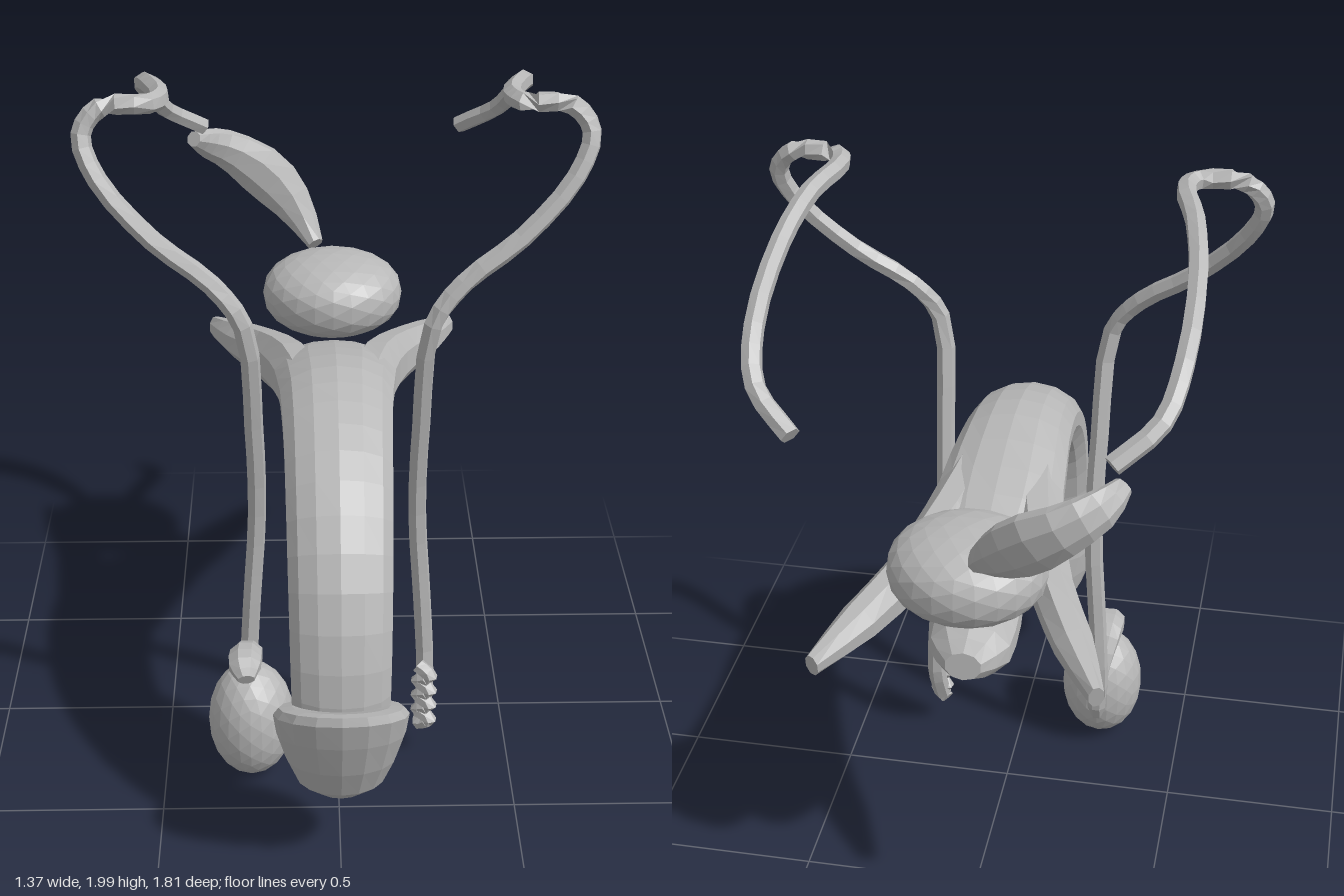
import * as THREE from 'three';

const V = (x, y, z) => new THREE.Vector3(x, y, z);

// Closed body swept through stations [x, y, z, halfWidth, halfDepth]
function loft(stations, wideHint, sides, steps) {
  const path = new THREE.CatmullRomCurve3(stations.map(s => V(s[0], s[1], s[2])));
  const size = new THREE.CatmullRomCurve3(stations.map(s => V(s[3], s[4], 0)));
  const pos = [], idx = [];
  for (let i = 0; i <= steps; i++) {
    const t = i / steps;
    const c = path.getPoint(t), tan = path.getTangent(t), r = size.getPoint(t);
    const wide = wideHint.clone().addScaledVector(tan, -wideHint.dot(tan)).normalize();
    const up = tan.clone().cross(wide);
    for (let j = 0; j < sides; j++) {
      const a = (j + 0.5) / sides * Math.PI * 2;
      const p = c.clone().addScaledVector(wide, Math.cos(a) * r.x).addScaledVector(up, Math.sin(a) * r.y);
      pos.push(p.x, p.y, p.z);
    }
  }
  for (let i = 0; i < steps; i++) {
    for (let j = 0; j < sides; j++) {
      const a = i * sides + j, b = i * sides + (j + 1) % sides;
      idx.push(a, b, a + sides, b, b + sides, a + sides);
    }
  }
  // end caps
  [0, steps].forEach(row => {
    const c = path.getPoint(row / steps), n = pos.length / 3;
    pos.push(c.x, c.y, c.z);
    for (let j = 0; j < sides; j++) {
      const a = row * sides + j, b = row * sides + (j + 1) % sides;
      if (row === 0) idx.push(n, b, a); else idx.push(n, a, b);
    }
  });
  const g = new THREE.BufferGeometry();
  g.setAttribute('position', new THREE.Float32BufferAttribute(pos, 3));
  g.setIndex(idx);
  g.computeVertexNormals();
  return g;
}

// Same radius all along the path
const cord = (points, r, steps) => loft(points.map(p => [...p, r, r]), V(1, 0.13, 0.21), 6, steps);

function ellipsoid(rx, ry, rz, fullness = 1) {
  const g = new THREE.IcosahedronGeometry(1, 3), p = g.attributes.position;
  for (let i = 0; i < p.count; i++) {
    const y = p.getY(i);
    p.setY(i, Math.sign(y) * Math.pow(Math.abs(y), fullness));
  }
  g.scale(rx, ry, rz);
  g.computeVertexNormals();
  return g;
}

export function createModel() {
  const model = new THREE.Group();
  model.name = 'anatomyModel';
  const grey = new THREE.MeshStandardMaterial({ color: 0xb8b8b8 });
  grey.name = 'plainGrey';
  grey.flatShading = true;
  const add = (name, geometry, x = 0, y = 0, z = 0) => {
    const m = new THREE.Mesh(geometry, grey);
    m.name = name;
    m.position.set(x, y, z);
    model.add(m);
    return m;
  };
  const X = V(1, 0, 0);

  // Arched upper column
  add('cavernousBody', loft([
    [0, 0.42, 0.725, 0.13, 0.085], [0, 0.6, 0.725, 0.135, 0.085], [0, 0.83, 0.645, 0.14, 0.09],
    [0, 1.0, 0.5, 0.145, 0.095], [0, 1.095, 0.33, 0.15, 0.095], [0, 1.125, 0.14, 0.16, 0.095],
    [0, 1.08, -0.12, 0.18, 0.085], [0, 1.02, -0.36, 0.14, 0.05],
  ], X, 14, 18));

  // Lower column, swelling into a bulb at the back
  add('spongyBody', loft([
    [0, 0.42, 0.66, 0.055, 0.05], [0, 0.6, 0.655, 0.055, 0.05], [0, 0.8, 0.585, 0.055, 0.05],
    [0, 0.95, 0.455, 0.055, 0.05], [0, 1.035, 0.29, 0.055, 0.05], [0, 1.045, 0.12, 0.06, 0.05],
    [0, 0.965, -0.12, 0.075, 0.065], [0, 0.895, -0.36, 0.115, 0.1], [0, 0.87, -0.53, 0.115, 0.085],
    [0, 0.885, -0.64, 0.05, 0.04],
  ], X, 10, 20));

  // Diverging rear legs of the upper column
  for (const s of [1, -1]) {
    add(s > 0 ? 'leftCrus' : 'rightCrus', loft([
      [0.08 * s, 1.1, 0.05, 0.08, 0.08], [0.125 * s, 1.05, -0.2, 0.075, 0.09],
      [0.2 * s, 1.0, -0.42, 0.06, 0.08], [0.285 * s, 0.965, -0.6, 0.055, 0.06],
      [0.37 * s, 0.935, -0.77, 0.022, 0.035],
    ], X, 8, 8));
  }

  // Slanted cap with a flared rim
  const profile = [[0, 0.22], [0.07, 0.227], [0.12, 0.27], [0.15, 0.35], [0.172, 0.44],
    [0.18, 0.51], [0.165, 0.535], [0.13, 0.54], [0, 0.52]];
  const glans = new THREE.LatheGeometry(profile.map(p => new THREE.Vector2(...p)), 16);
  const gp = glans.attributes.position;
  for (let i = 0; i < gp.count; i++) {
    const y = gp.getY(i), z = gp.getZ(i) * 0.84, rise = (y - 0.22) / 0.3;
    gp.setY(i, y + z * 0.43 * rise);
    gp.setZ(i, z + 0.69 + 0.07 * rise);
  }
  glans.computeVertexNormals();
  add('glans', glans);

  // Gland behind the arch
  add('prostate', ellipsoid(0.212, 0.125, 0.197, 0.85), 0, 1.145, -0.56);

  // Flattened sac on the right side only
  add('seminalVesicle', loft([
    [-0.05, 1.25, -0.69, 0.025, 0.025], [-0.115, 1.34, -0.79, 0.065, 0.035],
    [-0.2, 1.42, -0.845, 0.085, 0.04], [-0.31, 1.495, -0.86, 0.065, 0.04],
    [-0.38, 1.535, -0.825, 0.05, 0.035], [-0.42, 1.565, -0.77, 0.025, 0.025],
  ], V(0.6, 0.8, 0), 8, 9));

  // Long looping ducts, mirrored
  const duct = [
    [0.25, 0.12, 0.225], [0.258, 0.25, 0.18], [0.245, 0.5, 0.18], [0.225, 0.8, 0.195],
    [0.228, 1.1, 0.245], [0.25, 1.42, 0.3], [0.33, 1.53, 0.28], [0.48, 1.64, 0.245],
    [0.62, 1.79, 0.195], [0.66, 1.9, 0.155], [0.61, 1.965, 0.135], [0.485, 1.97, 0.12],
    [0.46, 1.97, 0.06], [0.5, 1.955, -0.1], [0.53, 1.895, -0.29], [0.53, 1.785, -0.55],
    [0.495, 1.69, -0.68], [0.39, 1.61, -0.76],
  ];
  for (const s of [1, -1]) {
    add(s > 0 ? 'leftDuct' : 'rightDuct', cord(duct.map(([x, y, z]) => [x * s, y, z]), 0.027, 51));
  }

  // Coiled end of the left duct
  const coil = [];
  for (let i = 0; i <= 8; i++) {
    coil.push([0.25 + (i % 2 ? 0.02 : -0.015), 0.1 + i * 0.025, 0.235 + (i % 2 ? 0.012 : -0.01)]);
  }
  add('leftCoil', cord(coil, 0.022, 24));

  // Right testis with the cap that folds over its top and back
  add('testis', ellipsoid(0.123, 0.177, 0.128, 0.95), -0.25, 0.182, 0.305);
  add('epididymis', loft([
    [-0.26, 0.365, 0.385, 0.025, 0.02], [-0.265, 0.385, 0.335, 0.05, 0.042],
    [-0.26, 0.375, 0.265, 0.048, 0.04], [-0.25, 0.29, 0.205, 0.035, 0.03],
    [-0.25, 0.18, 0.185, 0.03, 0.025], [-0.25, 0.1, 0.215, 0.025, 0.02],
  ], X, 8, 12));

  return model;
}
